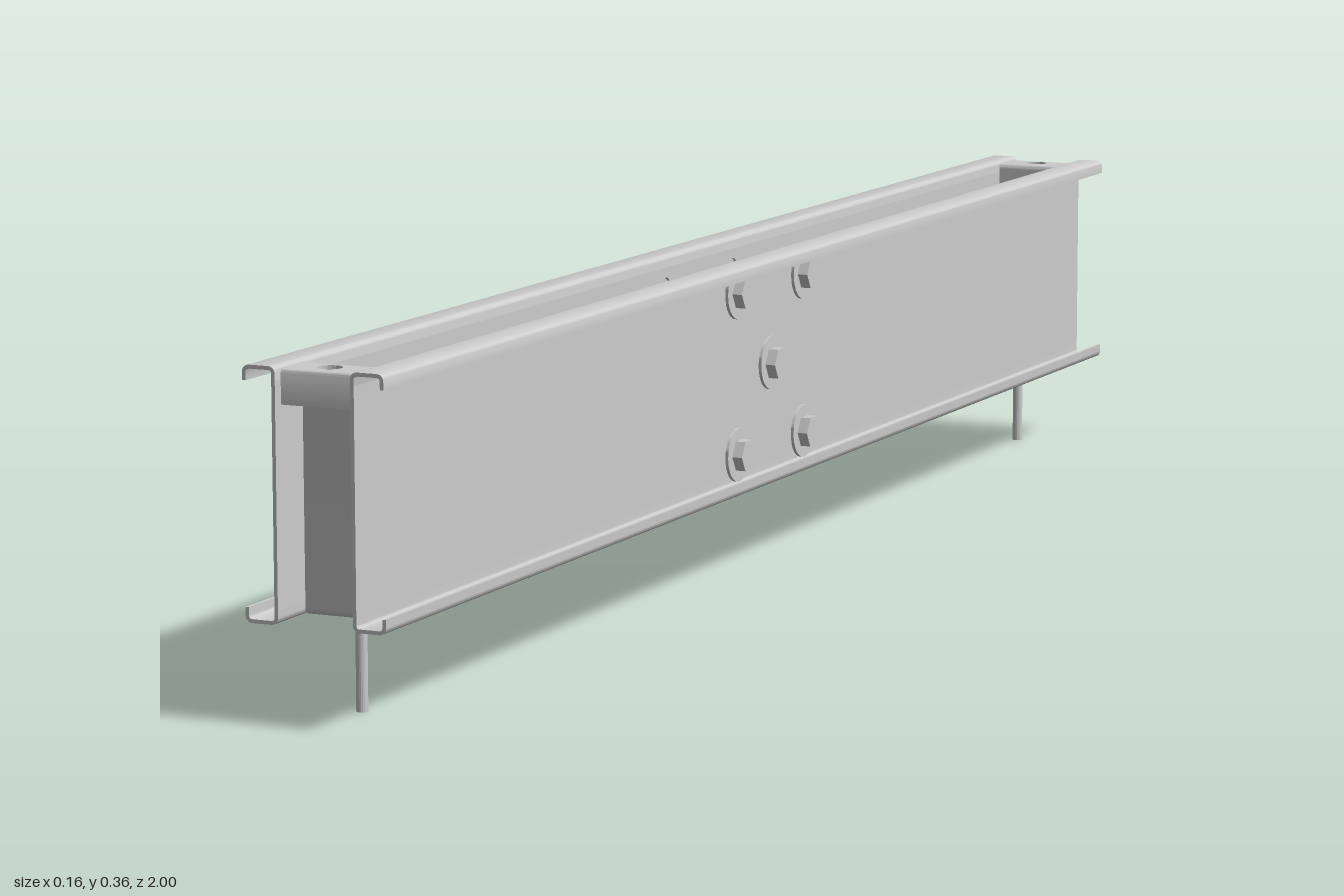
import * as THREE from 'three';
import { toCreasedNormals } from 'three/addons/utils/BufferGeometryUtils.js';

const material = new THREE.MeshStandardMaterial({ color: 0xcccccc });
const T = 0.004; // sheet thickness
const MID_Y = 0.234; // middle height of the channels
const LENGTH = 2;

function part(name, geometry, parent) {
  const mesh = new THREE.Mesh(toCreasedNormals(geometry, 0.6), material);
  mesh.name = name;
  parent.add(mesh);
  return mesh;
}

// Extrusion centred on its depth
function extrude(shape, depth) {
  return new THREE.ExtrudeGeometry(shape, { depth, bevelEnabled: false, curveSegments: 10 })
    .translate(0, 0, -depth / 2);
}

// Outline of a folded sheet that follows a polyline with rounded bends
function foldedSheet(points, radius) {
  const p = points.map(([x, y]) => new THREE.Vector2(x, y));
  const line = [p[0]];
  for (let i = 1; i < p.length - 1; i++) {
    const a = p[i].clone().add(p[i - 1].clone().sub(p[i]).setLength(radius));
    const b = p[i].clone().add(p[i + 1].clone().sub(p[i]).setLength(radius));
    line.push(...new THREE.QuadraticBezierCurve(a, p[i], b).getPoints(5));
  }
  line.push(p[p.length - 1]);
  const side = (s) => line.map((q, i) => {
    const d = line[Math.min(i + 1, line.length - 1)].clone().sub(line[Math.max(i - 1, 0)]).normalize();
    return new THREE.Vector2(q.x - d.y * s, q.y + d.x * s);
  });
  return new THREE.Shape([...side(T / 2), ...side(-T / 2).reverse()]);
}

function rectangle(x0, y0, x1, y1) {
  return new THREE.Shape([[x0, y0], [x1, y0], [x1, y1], [x0, y1]].map((q) => new THREE.Vector2(...q)));
}

function addHole(shape, x, y, r) {
  shape.holes.push(new THREE.Path().absarc(x, y, r, 0, Math.PI * 2, true));
}

// Bolt positions as [z, y]
const boltSpots = [[0, MID_Y]];
for (const z of [-0.092, 0.092]) for (const y of [0.14, 0.328]) boltSpots.push([z, y]);

// Lipped channel opening outwards, s = side of x
function makeChannel(s) {
  const channel = new THREE.Group();
  channel.name = s > 0 ? 'leftChannel' : 'rightChannel';
  const web = rectangle(-LENGTH / 2, 0.117, LENGTH / 2, 0.351);
  boltSpots.forEach(([z, y]) => addHole(web, z, y, 0.0115));
  part('web', extrude(web, T).rotateY(-Math.PI / 2), channel).position.x = s * 0.0445;
  for (const v of [1, -1]) {
    const path = [[0.0445, 0.117], [0.0445, 0.129], [0.0777, 0.129], [0.0777, 0.115]]
      .map(([x, y]) => [s * x, MID_Y + v * y]);
    part(v > 0 ? 'topFlange' : 'bottomFlange', extrude(foldedSheet(path, 0.006), LENGTH), channel);
  }
  return channel;
}

// Z-shaped end bracket with a hole on top and a pin below
function makeBracket(name) {
  const bracket = new THREE.Group();
  bracket.name = name;
  const width = 0.085;
  const fold = (label, path) =>
    part(label, extrude(foldedSheet(path, 0.005), width).rotateY(-Math.PI / 2), bracket);
  fold('lip', [[0.986, 0.325], [0.986, 0.36], [0.98, 0.36]]);
  fold('bracketWeb', [[0.949, 0.36], [0.942, 0.36], [0.942, 0.106], [0.872, 0.106]]);
  const top = rectangle(-width / 2, 0.949, width / 2, 0.98);
  addHole(top, 0, 0.9645, 0.0135);
  part('topPlate', extrude(top, T).rotateX(Math.PI / 2), bracket).position.y = 0.36;
  part('pin', new THREE.CylinderGeometry(0.0062, 0.0062, 0.109, 20), bracket).position.set(0, 0.0545, 0.905);
  return bracket;
}

// Cylinder lying along x from x0 to x1
function disc(name, radius, x0, x1, sides, parent) {
  const geometry = new THREE.CylinderGeometry(radius, radius, x1 - x0, sides).rotateZ(Math.PI / 2);
  part(name, geometry, parent).position.x = (x0 + x1) / 2;
}

export function createModel() {
  const model = new THREE.Group();
  model.name = 'doubleChannelBeam';
  model.add(makeChannel(1), makeChannel(-1));

  const front = makeBracket('frontBracket');
  const back = makeBracket('backBracket');
  back.rotation.y = Math.PI;
  model.add(front, back);

  // Headed bolts on one web, nuts with threaded ends on the other
  for (const [z, y] of boltSpots) {
    const bolt = new THREE.Group();
    bolt.name = 'bolt';
    bolt.position.set(0, y, z);
    disc('washer', 0.031, 0.0465, 0.05, 32, bolt);
    disc('boltHead', 0.0195, 0.05, 0.062, 6, bolt);
    disc('nut', 0.021, -0.062, -0.0465, 6, bolt);
    disc('boltEnd', 0.0105, -0.085, -0.0445, 24, bolt);
    model.add(bolt);
  }
  model.children.forEach((child) => { child.position.x += 0.001; });
  return model;
}
